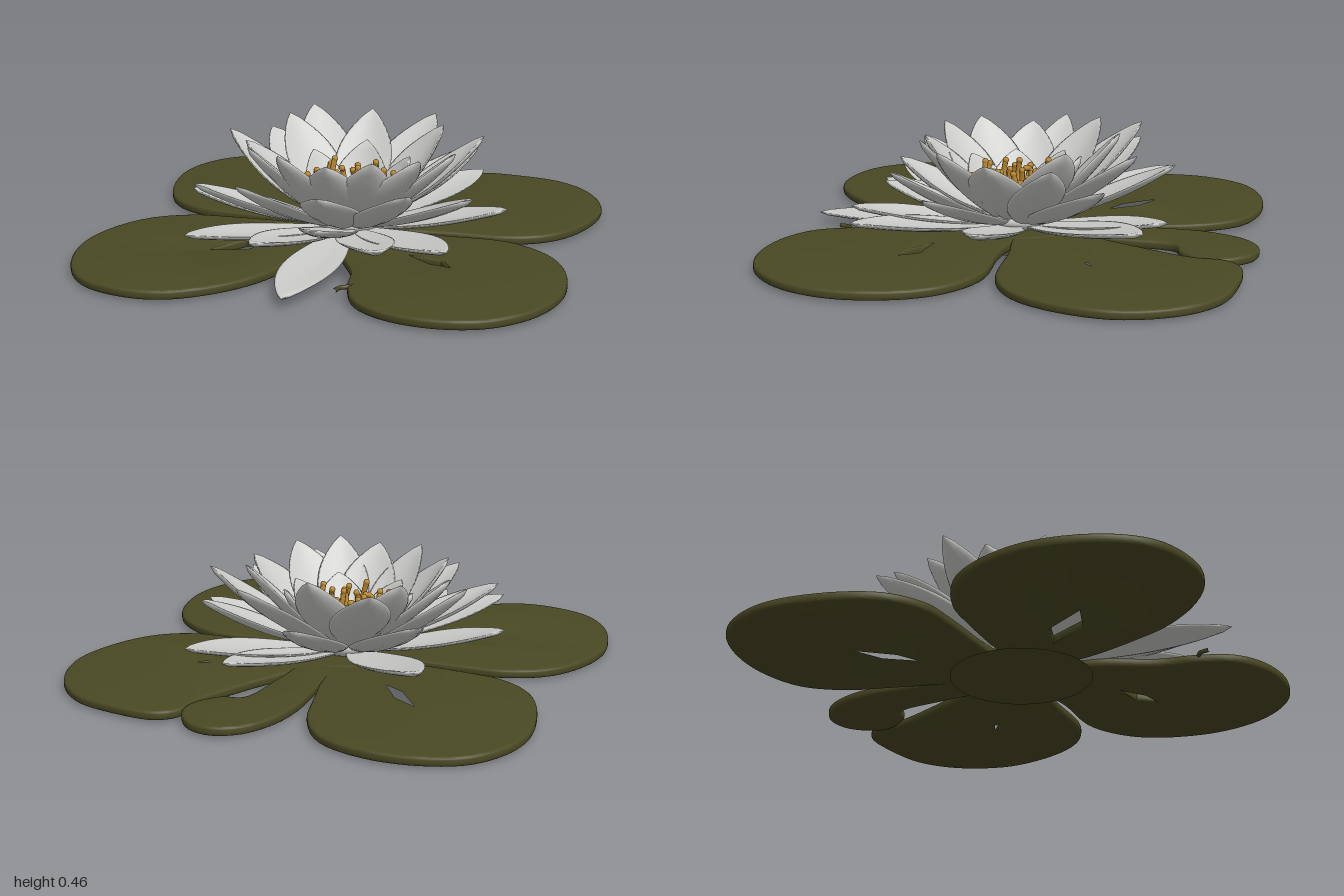
import * as THREE from 'three';
import { toCreasedNormals } from 'three/addons/utils/BufferGeometryUtils.js';

const padGreen = new THREE.MeshStandardMaterial({ name: 'padGreen', color: 0x4a4924 });
const petalWhite = new THREE.MeshStandardMaterial({ name: 'petalWhite', color: 0xcdcdcb });
const stamenGold = new THREE.MeshStandardMaterial({ name: 'stamenGold', color: 0xb8862e });

const CENTRE = new THREE.Vector3(0, 0, 0.03);

function add(parent, name, geometry, material) {
  const mesh = new THREE.Mesh(geometry, material);
  mesh.name = name;
  parent.add(mesh);
  return mesh;
}

// Flat leaf from a smooth outline of [x, z] points, with an optional slit
function padGeometry(points, slit) {
  const curve = new THREE.CatmullRomCurve3(
    points.map(([x, z]) => new THREE.Vector3(x, -z, 0)), true);
  const shape = new THREE.Shape(curve.getPoints(72).slice(0, -1).map(p => new THREE.Vector2(p.x, p.y)));
  if (slit) {
    shape.holes.push(new THREE.Path(slit.map(([x, z]) => new THREE.Vector2(x, -z))));
  }
  const geometry = new THREE.ExtrudeGeometry(shape, {
    depth: 0.016, bevelEnabled: true, bevelThickness: 0.011, bevelSize: 0.012, bevelOffset: -0.012, bevelSegments: 3,
  });
  geometry.rotateX(-Math.PI / 2);
  geometry.translate(0, 0.019, 0);
  return toCreasedNormals(geometry, 0.7);
}

// Cupped petal: lens-shaped cross-sections swept along a rising curve
function petalGeometry([x, y, z, halfWidth], start = 0.07, baseY = 0.07, sag = 0.28, cup = 0.3) {
  const ROWS = 18, SIDES = 16, THICK = 0.011;
  const out = new THREE.Vector3(x, 0, z).sub(CENTRE);
  const reach = out.length();
  out.normalize();
  const up = new THREE.Vector3(0, 1, 0);
  const side = new THREE.Vector3().crossVectors(out, up);
  const path = new THREE.QuadraticBezierCurve(
    new THREE.Vector2(start, baseY),
    new THREE.Vector2(start + (reach - start) * 0.55, baseY + (y - baseY) * sag),
    new THREE.Vector2(reach, y));
  const positions = [], index = [];
  for (let i = 0; i <= ROWS; i++) {
    const u = i / ROWS;
    const p = path.getPoint(u), t = path.getTangent(u);
    const w = halfWidth * (Math.pow(Math.max(Math.sin(Math.PI * Math.pow(u, 1.15)), 0), 0.8) + 0.25 * (1 - u)) + 0.002;
    const taper = THICK * (i === ROWS ? 0.2 : 1);
    for (let j = 0; j < SIDES; j++) {
      const a = j / SIDES * Math.PI * 2;
      const v = Math.cos(a);
      const lift = taper * Math.sin(a) + cup * w * v * v;
      const v3 = CENTRE.clone()
        .addScaledVector(out, p.x - t.y * lift)
        .addScaledVector(up, p.y + t.x * lift)
        .addScaledVector(side, v * w);
      positions.push(v3.x, v3.y, v3.z);
      if (i < ROWS) {
        const k = (j + 1) % SIDES, r = i * SIDES, s = r + SIDES;
        index.push(r + j, s + j, r + k, r + k, s + j, s + k);
      }
    }
  }
  // Close the tip
  const last = ROWS * SIDES;
  for (let j = 1; j < SIDES - 1; j++) index.push(last, last + j + 1, last + j);
  const geometry = new THREE.BufferGeometry();
  geometry.setAttribute('position', new THREE.Float32BufferAttribute(positions, 3));
  geometry.setIndex(index);
  geometry.computeVertexNormals();
  return geometry;
}

function tube(points, radius) {
  const curve = new THREE.CatmullRomCurve3(points.map(p => new THREE.Vector3(...p)));
  return new THREE.TubeGeometry(curve, 10, radius, 7);
}

function createPads() {
  const pads = new THREE.Group();
  pads.name = 'lilyPads';
  const outlines = {
    frontRightPad: [[[-1, 0.52], [-0.96, 0.3], [-0.86, 0.14], [-0.7, 0.05], [-0.54, 0.03], [-0.3, 0.02], [-0.05, 0.02],
      [-0.04, 0.3], [-0.12, 0.58], [-0.18, 0.72], [-0.3, 0.87], [-0.45, 0.97], [-0.6, 0.99], [-0.8, 0.93], [-0.93, 0.78]],
      [[-0.24, 0.26], [-0.36, 0.3], [-0.46, 0.47], [-0.32, 0.42]]],
    frontLeftPad: [[[0.19, 0.7], [0.26, 0.85], [0.4, 0.94], [0.6, 0.965], [0.78, 0.91], [0.93, 0.75], [0.995, 0.52],
      [0.95, 0.27], [0.85, 0.12], [0.67, 0.02], [0.4, 0.02], [0.04, 0], [0.04, 0.3], [0.16, 0.55]],
      [[0.34, 0.31], [0.47, 0.33], [0.52, 0.4], [0.44, 0.38]]],
    backLeftPad: [[[0.3, -0.88], [0.37, -0.95], [0.55, -0.955], [0.75, -0.91], [0.9, -0.78], [0.99, -0.55], [0.95, -0.3],
      [0.85, -0.13], [0.7, -0.04], [0.4, -0.02], [0.04, 0], [0.08, -0.25], [0.2, -0.52], [0.29, -0.75]],
      [[0.44, -0.36], [0.52, -0.39], [0.47, -0.33]]],
    backRightPad: [[[-1, -0.55], [-0.97, -0.72], [-0.87, -0.87], [-0.7, -0.95], [-0.5, -0.965], [-0.3, -0.9], [-0.18, -0.75],
      [-0.12, -0.57], [-0.05, -0.3], [-0.04, 0], [-0.3, -0.02], [-0.57, -0.03], [-0.72, -0.05], [-0.86, -0.14], [-0.95, -0.3]],
      [[-0.31, -0.3], [-0.42, -0.35], [-0.53, -0.5], [-0.4, -0.44]]],
    smallBackPad: [[[-0.09, -0.63], [-0.07, -0.8], [0, -0.94], [0.1, -1], [0.21, -0.98], [0.29, -0.88], [0.29, -0.79],
      [0.22, -0.69], [0.14, -0.66], [0.11, -0.4], [0.08, -0.1], [-0.05, -0.1], [-0.07, -0.4]]],
  };
  for (const [name, [outline, slit]] of Object.entries(outlines)) {
    add(pads, name, padGeometry(outline, slit), padGreen);
  }
  // Leaf hub, and a stray stalk beside the front petal
  const hub = add(pads, 'padHub', new THREE.CylinderGeometry(0.2, 0.3, 0.05, 32), padGreen);
  hub.position.set(0, 0.025, 0);
  add(pads, 'stalkStub', tube([[0.24, 0.035, 0.66], [0.2, 0.04, 0.71], [0.17, 0.04, 0.73], [0.16, 0.04, 0.77]], 0.009), padGreen);
  return pads;
}

function createFlower() {
  const flower = new THREE.Group();
  flower.name = 'flower';

  // Petal tips as [x, y, z, half width]
  const lower = [
    [-0.67, 0.19, 0.13, 0.1], [0.68, 0.19, 0.05, 0.1], [-0.48, 0.17, 0.68, 0.1], [0.55, 0.17, 0.59, 0.11],
    [0.45, 0.17, -0.57, 0.12], [-0.55, 0.2, -0.54, 0.11], [0.3, 0.17, 0.67, 0.1], [-0.21, 0.16, 0.68, 0.1],
    [0.24, 0.16, -0.64, 0.1], [0.02, 0.21, 0.61, 0.1],
  ];
  const middle = [
    [-0.54, 0.3, 0.42, 0.1], [0.58, 0.29, 0.28, 0.1], [-0.05, 0.33, -0.63, 0.1], [-0.5, 0.34, -0.42, 0.11],
    [0.46, 0.33, -0.41, 0.11], [-0.57, 0.41, -0.07, 0.1], [0.52, 0.42, -0.22, 0.1], [-0.32, 0.34, 0.53, 0.1],
    [0.36, 0.34, 0.48, 0.1], [0.02, 0.32, 0.54, 0.11],
  ];
  const upper = [
    [-0.31, 0.45, -0.45, 0.11], [0.24, 0.43, -0.51, 0.11], [-0.02, 0.46, -0.4, 0.11], [-0.36, 0.45, -0.26, 0.11],
    [0.34, 0.45, -0.24, 0.11], [-0.45, 0.4, 0.06, 0.11], [0.46, 0.41, 0.06, 0.11], [-0.36, 0.43, 0.28, 0.11],
    [0.36, 0.43, 0.28, 0.11], [0.02, 0.42, 0.43, 0.11], [-0.19, 0.44, 0.4, 0.1], [0.2, 0.44, 0.4, 0.1],
  ];
  const inner = [
    [0, 0.36, -0.24, 0.1], [-0.21, 0.33, -0.13, 0.09], [0.22, 0.33, -0.13, 0.09], [-0.27, 0.31, 0.1, 0.09],
    [0.28, 0.31, 0.1, 0.09], [-0.15, 0.31, 0.27, 0.09], [0.15, 0.31, 0.27, 0.09],
  ];
  lower.forEach(p => add(flower, 'lowerPetal', petalGeometry(p, 0.07, 0.055, 0.3, 0.2), petalWhite));
  middle.forEach(p => add(flower, 'middlePetal', petalGeometry(p, 0.08, 0.075), petalWhite));
  upper.forEach(p => add(flower, 'upperPetal', petalGeometry(p, 0.09, 0.09, 0.34), petalWhite));
  inner.forEach(p => add(flower, 'innerPetal', petalGeometry(p, 0.1, 0.1, 0.25), petalWhite));
  // Long petal resting on the water
  add(flower, 'frontPetal', petalGeometry([0, 0.045, 0.92, 0.1], 0.08, 0.05, 3, 0.15), petalWhite);

  const base = add(flower, 'flowerBase', new THREE.SphereGeometry(0.15, 24, 12), petalWhite);
  base.scale.y = 0.4;
  base.position.set(0, 0.09, 0.03);
  return flower;
}

function createStamens() {
  const stamens = new THREE.Group();
  stamens.name = 'stamens';
  stamens.position.copy(CENTRE);
  const core = add(stamens, 'stamenCore', new THREE.SphereGeometry(0.135, 24, 14), stamenGold);
  core.scale.y = 0.65;
  core.position.y = 0.145;

  // Curling filaments in three rings, each with a rounded tip
  const rings = [[18, 0.11, 0.185, 0.25], [14, 0.09, 0.135, 0.285], [8, 0.05, 0.065, 0.26]];
  rings.forEach(([count, r0, r1, top], ring) => {
    for (let i = 0; i < count; i++) {
      const a = (i + ring * 0.5) / count * Math.PI * 2;
      const wob = Math.sin(i * 2.4 + ring) * 0.5;
      const at = (r, y, turn) => [Math.cos(a + turn) * r, y, Math.sin(a + turn) * r];
      const tip = at(r1 + wob * 0.03, top + wob * 0.05, wob * 0.35);
      add(stamens, 'filament', tube([at(r0, 0.13, 0), at((r0 + r1) / 2 + 0.015, 0.19, 0),
        at(r1 + 0.01, top - 0.03, wob * 0.15), tip], 0.012), stamenGold);
      add(stamens, 'anther', new THREE.SphereGeometry(0.014, 8, 6), stamenGold).position.set(...tip);
    }
  });
  return stamens;
}

export function createModel() {
  const model = new THREE.Group();
  model.name = 'waterLily';
  model.add(createPads(), createFlower(), createStamens());
  return model;
}
